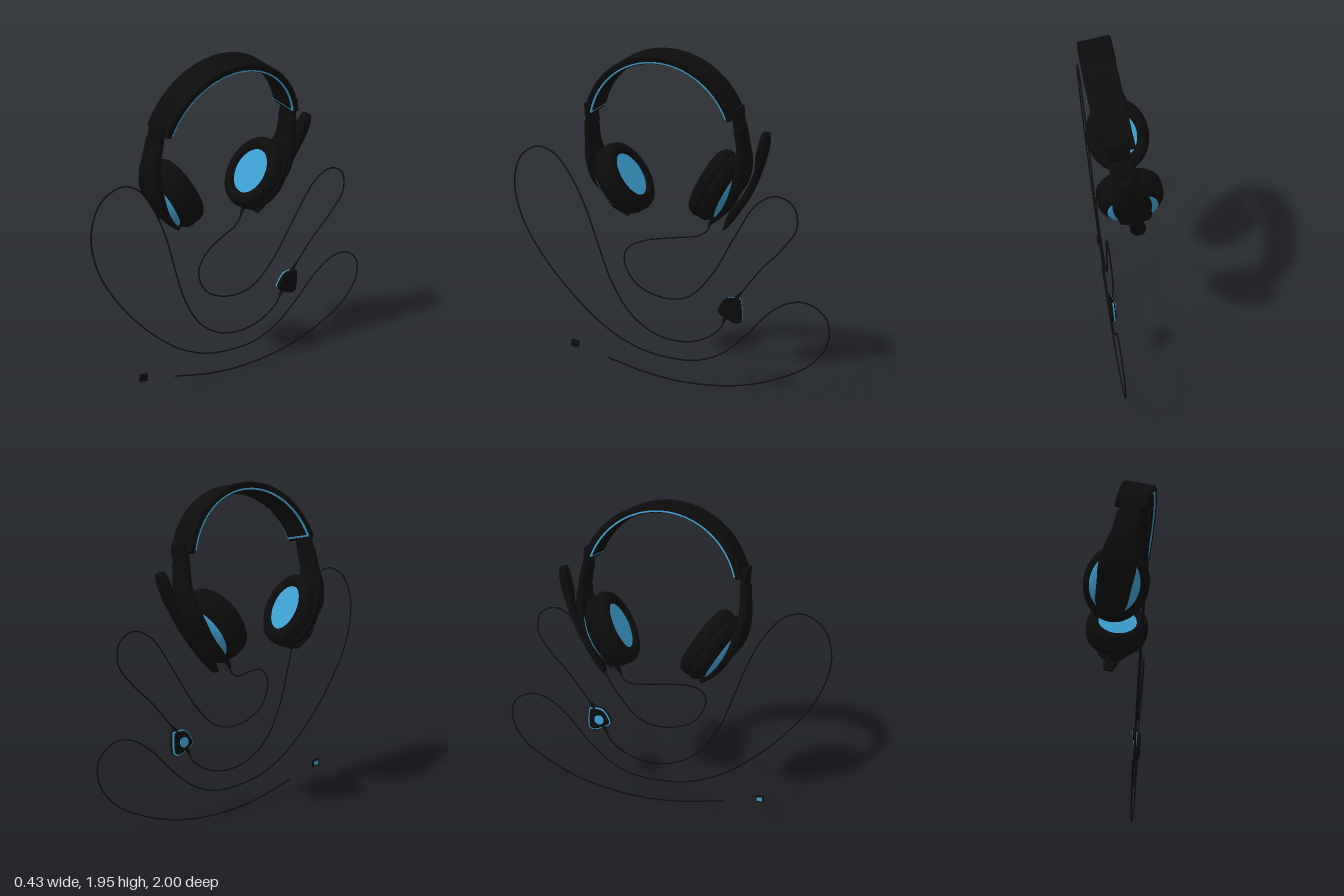
import * as THREE from 'three';

const black = new THREE.MeshStandardMaterial({ color: 0x0c0c0c });
black.name = 'matte black';
const blue = new THREE.MeshStandardMaterial({ color: 0x3d9fd0 });
blue.name = 'accent blue';

function add(parent, name, geometry, material) {
  const mesh = new THREE.Mesh(geometry, material);
  mesh.name = name;
  parent.add(mesh);
  return mesh;
}

// Loft of rounded cross-sections along a path in the yz plane.
// Stations: [z, y, half width in x, half thickness]
function loft(stations, steps = 32, sides = 20) {
  const pathCurve = new THREE.CatmullRomCurve3(stations.map(([z, y]) => new THREE.Vector3(0, y, z)));
  const sizeCurve = new THREE.CatmullRomCurve3(stations.map(([, , w, t]) => new THREE.Vector3(w, t, 0)));
  const pos = [], index = [];
  const soft = (c) => Math.sign(c) * Math.abs(c) ** 0.6;
  for (let i = 0; i <= steps; i++) {
    const p = pathCurve.getPoint(i / steps), t = pathCurve.getTangent(i / steps);
    const s = sizeCurve.getPoint(i / steps);
    for (let j = 0; j < sides; j++) {
      const a = (j / sides) * Math.PI * 2;
      const n = s.y * soft(Math.sin(a));
      pos.push(s.x * soft(Math.cos(a)), p.y + n * t.z, p.z - n * t.y);
    }
  }
  for (let i = 0; i < steps; i++) {
    for (let j = 0; j < sides; j++) {
      const a = i * sides + j, b = i * sides + ((j + 1) % sides);
      index.push(a, b, a + sides, b, b + sides, a + sides);
    }
  }
  const end = steps * sides;
  for (let j = 1; j < sides - 1; j++) index.push(0, j + 1, j, end, end + j, end + j + 1);
  const g = new THREE.BufferGeometry();
  g.setAttribute('position', new THREE.Float32BufferAttribute(pos, 3));
  g.setIndex(index);
  g.computeVertexNormals();
  return g;
}

// Extrude a shape drawn in (-z, y) so that its depth is centred on x = 0
function slab(shape, depth, bevel) {
  const g = new THREE.ExtrudeGeometry(shape, {
    depth: depth - 2 * bevel, bevelEnabled: bevel > 0, bevelSize: bevel, bevelThickness: bevel,
    bevelOffset: -bevel, bevelSegments: 3, curveSegments: 48,
  });
  g.translate(0, 0, -(depth - 2 * bevel) / 2);
  return g.rotateY(Math.PI / 2);
}

function arcBand(inner, outer, start, width, bevel) {
  const s = new THREE.Shape();
  s.absarc(0, 0, outer, start, Math.PI - start, false);
  s.absarc(0, 0, inner, Math.PI - start, start, true);
  return slab(s, width, bevel);
}

const lathe = (pts) => new THREE.LatheGeometry(pts.map(([r, y]) => new THREE.Vector2(r, y)), 48);

// One ear cup, slider and arm, on the +z side
function createSide() {
  const side = new THREE.Group();
  add(side, 'slider', new THREE.BoxGeometry(0.12, 0.14, 0.025), black).position.set(0, 0.425, 0.468);
  add(side, 'arm', loft([
    [0.472, 0.39, 0.07, 0.021], [0.482, 0.27, 0.072, 0.025], [0.478, 0.17, 0.095, 0.03],
    [0.448, 0.055, 0.108, 0.03], [0.395, -0.03, 0.1, 0.026], [0.343, -0.115, 0.092, 0.024],
    [0.268, -0.186, 0.055, 0.014],
  ]), black);

  const cup = new THREE.Group();
  cup.name = 'earCup';
  cup.position.set(0, 0.066, 0.23);
  cup.rotation.x = -Math.PI / 3;
  cup.scale.set(0.187, 1, 0.22);
  side.add(cup);
  add(cup, 'cupShell', lathe([
    [0, -0.195], [0.45, -0.192], [0.65, -0.178], [0.85, -0.155], [0.97, -0.125], [1, -0.1],
    [0.99, -0.088], [0.94, -0.08],
  ]), black);
  add(cup, 'earPad', lathe([
    [0.94, -0.085], [1, -0.07], [1, -0.05], [0.96, -0.022], [0.88, -0.007], [0.78, 0],
    [0.7, -0.003], [0.64, -0.012], [0.61, -0.03],
  ]), black);
  add(cup, 'speakerCloth', lathe([[0.64, -0.024], [0, -0.024]]), blue);
  // Blue inlay, seen as a crescent on each side of the arm
  add(cup, 'sideInlay', lathe([[0.4, -0.196], [0.45, -0.195], [0.65, -0.182], [0.77, -0.169], [0.77, -0.16]]), blue);
  return side;
}

function cable(points) {
  const curve = new THREE.CatmullRomCurve3(points.map(([z, y, x = 0.058 + 0.075 * y]) => new THREE.Vector3(x, y, z)));
  return new THREE.TubeGeometry(curve, points.length * 12, 0.0042, 6);
}

// Tapered strain relief between two points given as [x, y, z]
function relief(parent, from, to, r0, r1) {
  const a = new THREE.Vector3(...from), b = new THREE.Vector3(...to);
  const m = add(parent, 'strainRelief', new THREE.CylinderGeometry(r1, r0, a.distanceTo(b), 12), black);
  m.position.copy(a).add(b).multiplyScalar(0.5);
  m.quaternion.setFromUnitVectors(new THREE.Vector3(0, 1, 0), b.sub(a).normalize());
}

export function createModel() {
  const model = new THREE.Group();
  model.name = 'headset';

  // Leaning headset
  const head = new THREE.Group();
  head.name = 'headsetBody';
  head.position.set(-0.03, 1.15, 0.04);
  head.rotation.z = -0.2;
  model.add(head);

  const band = new THREE.Group();
  band.name = 'headband';
  band.position.y = 0.315;
  head.add(band);
  add(band, 'bandShell', arcBand(0.449, 0.487, 0.27, 0.19, 0.01), black);
  add(band, 'bandTrim', arcBand(0.442, 0.451, 0.31, 0.182, 0), blue);
  add(band, 'bandPadding', arcBand(0.436, 0.446, 0.34, 0.164, 0.003), black);

  for (const [name, turn] of [['frontSide', 0], ['backSide', Math.PI]]) {
    const side = createSide();
    side.name = name;
    side.rotation.y = turn;
    head.add(side);
  }

  // Microphone boom folded up beside the back cup
  add(head, 'microphoneBoom', loft([
    [-0.33, -0.238, 0.028, 0.008], [-0.385, -0.15, 0.045, 0.024], [-0.485, -0.02, 0.032, 0.021],
    [-0.555, 0.11, 0.03, 0.02], [-0.592, 0.23, 0.04, 0.03], [-0.612, 0.3, 0.042, 0.028],
    [-0.625, 0.355, 0.03, 0.02],
  ]), black);

  // Cable from the back cup to the control box
  add(model, 'upperCable', cable([
    [-0.2, 0.96, -0.08], [-0.18, 0.9, -0.08], [-0.13, 0.863, -0.065], [0, 0.85, -0.005], [0.17, 0.83, 0.08],
    [0.25, 0.785, 0.112], [0.27, 0.71], [0.2, 0.58], [0.02, 0.51], [-0.14, 0.535], [-0.29, 0.68],
    [-0.44, 0.92], [-0.57, 1.11], [-0.69, 1.168], [-0.79, 1.12], [-0.81, 1.0], [-0.72, 0.87],
    [-0.6, 0.75], [-0.5, 0.63], [-0.44, 0.55],
  ]), black);
  // Cable from the control box to the free end
  add(model, 'lowerCable', cable([
    [-0.37, 0.44], [-0.33, 0.36], [-0.22, 0.285], [-0.08, 0.255], [0.08, 0.28], [0.24, 0.385], [0.36, 0.57],
    [0.44, 0.79], [0.51, 1.0], [0.6, 1.19], [0.71, 1.325], [0.82, 1.36], [0.94, 1.295], [0.997, 1.13],
    [0.95, 0.9], [0.8, 0.655], [0.6, 0.435], [0.4, 0.275], [0.2, 0.18], [0, 0.145], [-0.18, 0.152],
    [-0.34, 0.215], [-0.49, 0.34], [-0.63, 0.485], [-0.76, 0.565], [-0.88, 0.57], [-0.98, 0.49],
    [-0.985, 0.36], [-0.89, 0.225], [-0.7, 0.115], [-0.45, 0.035], [-0.15, 0.005], [0.12, 0.025], [0.415, 0.092],
  ]), black);
  relief(model, [-0.08, 0.985, -0.22], [-0.08, 0.92, -0.185], 0.018, 0.007);
  relief(model, [0.1, 0.545, -0.43], [0.102, 0.595, -0.47], 0.014, 0.006);
  relief(model, [0.09, 0.45, -0.38], [0.088, 0.4, -0.35], 0.014, 0.006);

  // Inline control box
  const box = new THREE.Group();
  box.name = 'controlBox';
  box.position.set(0.096, 0.487, -0.4);
  box.rotation.z = -0.075;
  model.add(box);
  const outline = (k) => {
    const pts = [[-0.073, -0.005], [-0.045, 0.045], [-0.01, 0.072], [0.055, 0.072], [0.07, 0.05],
      [0.073, -0.045], [0.055, -0.073], [0.01, -0.068], [-0.06, -0.03]];
    return new THREE.Shape(new THREE.SplineCurve([...pts, pts[0]].map(([x, y]) => new THREE.Vector2(x * k, y * k))).getPoints(45));
  };
  add(box, 'controlShell', slab(outline(1), 0.024, 0.008), black).position.x = 0.007;
  add(box, 'controlTrim', slab(outline(0.98), 0.008, 0), blue).position.x = -0.007;
  add(box, 'controlBack', slab(outline(0.88), 0.012, 0.004), black).position.x = -0.012;
  const dial = add(box, 'controlDial', new THREE.CylinderGeometry(0.03, 0.03, 0.006, 28), blue);
  dial.rotation.z = Math.PI / 2;
  dial.position.x = -0.019;

  // Loose plug
  const plug = new THREE.Group();
  plug.name = 'plug';
  plug.position.set(0.068, 0.153, 0.635);
  plug.rotation.x = -0.15;
  model.add(plug);
  add(plug, 'plugBody', new THREE.BoxGeometry(0.014, 0.042, 0.05), black);
  add(plug, 'plugInlay', new THREE.BoxGeometry(0.003, 0.026, 0.034), blue).position.x = -0.007;
  return model;
}
